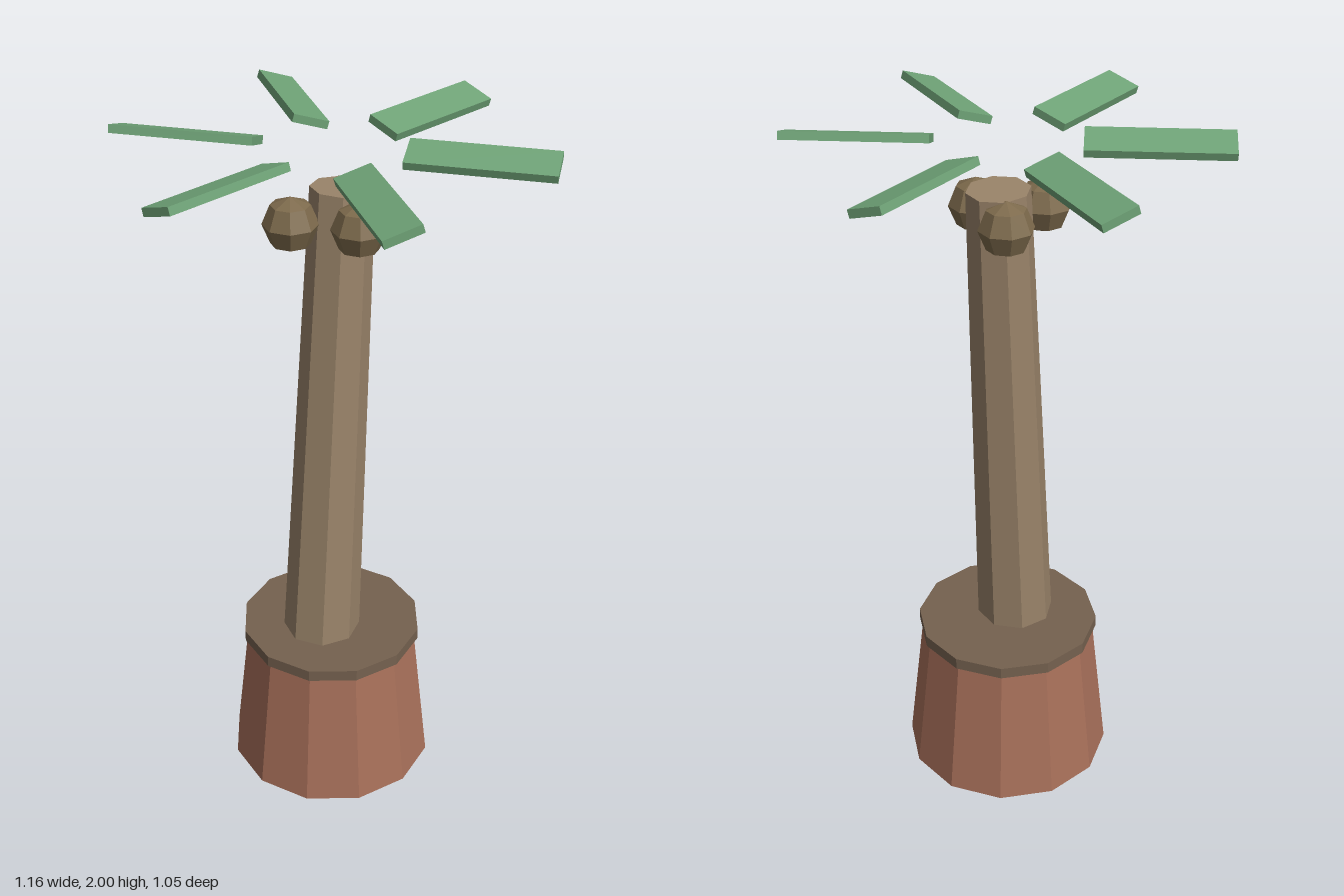
import * as THREE from 'three';

const material = (color) => new THREE.MeshStandardMaterial({ color, flatShading: true });

function addPart(parent, name, geometry, mat, x, y, z) {
  const mesh = new THREE.Mesh(geometry, mat);
  mesh.name = name;
  mesh.position.set(x, y, z);
  parent.add(mesh);
  return mesh;
}

export function createModel() {
  const model = new THREE.Group();
  model.name = 'pottedPalm';

  const clay = material(0xa8705a);
  const soilBrown = material(0x75614f);
  const bark = material(0x9a846a);
  const shell = material(0x7d6a4c);
  const green = material(0x6fa377);

  // Tapered twelve-sided pot, wider at the base, with a soil disc on top
  addPart(model, 'pot', new THREE.CylinderGeometry(0.26, 0.31, 0.44, 12), clay, 0, 0.22, 0);
  addPart(model, 'soil', new THREE.CylinderGeometry(0.27, 0.27, 0.035, 12), soilBrown, 0, 0.457, 0);

  // Leaning octagonal trunk
  const trunk = addPart(model, 'trunk', new THREE.CylinderGeometry(0.086, 0.114, 1.4, 8), bark, 0, 1.157, 0);
  trunk.rotation.z = -0.06;

  // Coconuts around the top of the trunk
  const nut = new THREE.SphereGeometry(0.075, 8, 4);
  [[0, 0.1], [-0.097, -0.052], [0.095, -0.06]].forEach(([x, z], i) =>
    addPart(model, `coconut${i + 1}`, nut, shell, x, 1.78, z));

  // Ring of six fronds, each twisted about its own length
  const leaf = new THREE.BoxGeometry(0.385, 0.022, 0.1);
  for (let i = 0; i < 6; i++) {
    const pivot = new THREE.Group();
    pivot.name = `frond${i + 1}`;
    pivot.position.y = 1.974;
    pivot.rotation.y = (i * Math.PI) / 3;
    addPart(pivot, 'leaf', leaf, green, 0.386, 0, 0).rotation.x = 0.3;
    model.add(pivot);
  }

  return model;
}
